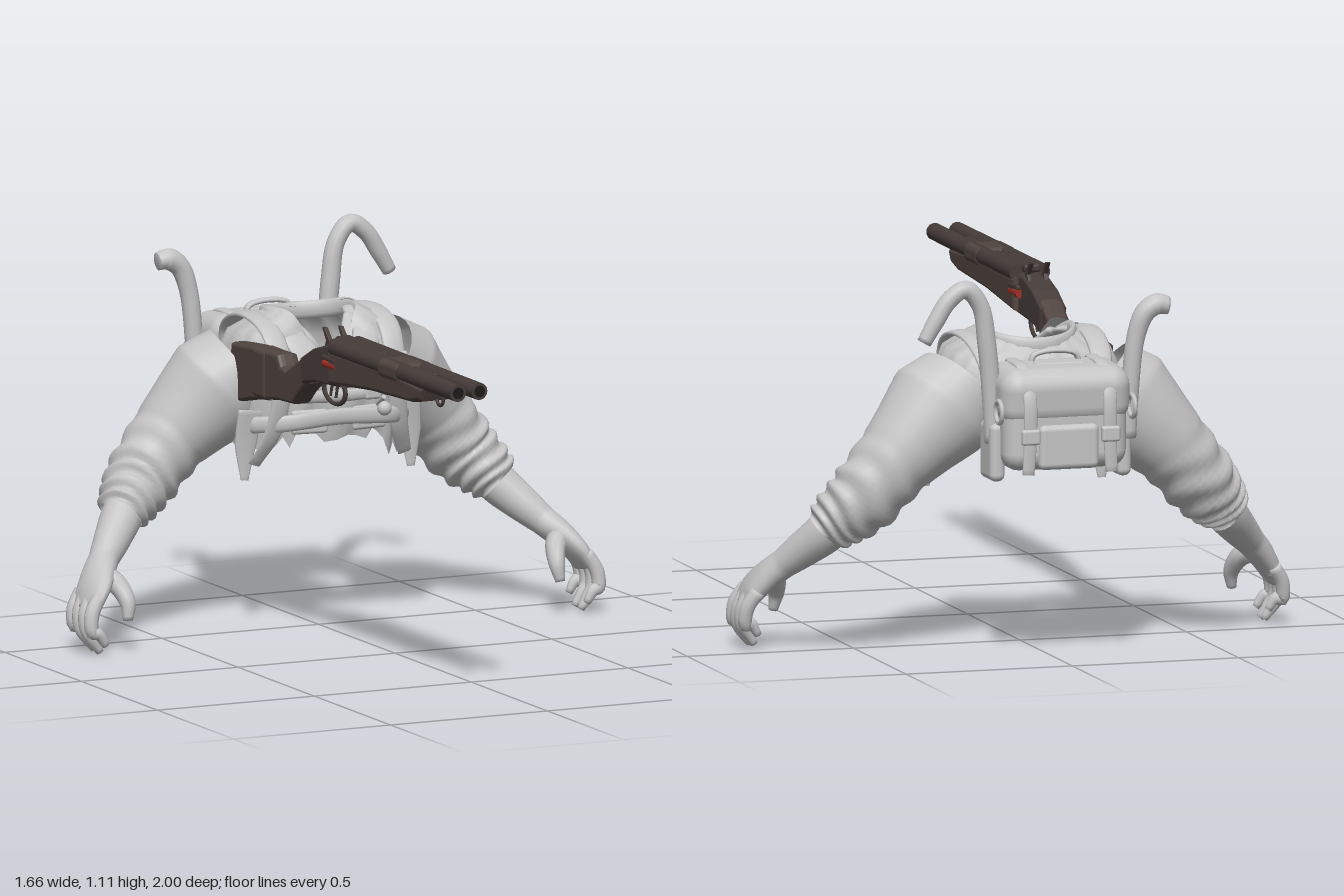
import * as THREE from 'three';
import { RoundedBoxGeometry } from 'three/addons/geometries/RoundedBoxGeometry.js';

const mat = (name, color, side = THREE.FrontSide) => {
  const m = new THREE.MeshStandardMaterial({ color, side });
  m.name = name;
  return m;
};
const X = new THREE.Vector3(1, 0, 0), Y = new THREE.Vector3(0, 1, 0), Z = new THREE.Vector3(0, 0, 1);
const noise = (n) => { const s = Math.sin(n * 12.9898) * 43758.5453; return s - Math.floor(s); };

// Skin rows of points that wrap around
function skin(rows, sides, caps) {
  const pos = rows.flat().flatMap((p) => [p.x, p.y, p.z]), idx = [];
  for (let i = 0; i < rows.length - 1; i++) for (let j = 0; j < sides; j++) {
    const a = i * sides + j, b = i * sides + (j + 1) % sides, c = a + sides, d = b + sides;
    idx.push(a, c, b, b, c, d);
  }
  if (caps) caps.forEach((p, e) => {
    const k = pos.length / 3, o = e ? (rows.length - 1) * sides : 0;
    pos.push(p.x, p.y, p.z);
    for (let j = 0; j < sides; j++) {
      const a = o + j, b = o + (j + 1) % sides;
      if (e) idx.push(k, b, a); else idx.push(k, a, b);
    }
  });
  const g = new THREE.BufferGeometry();
  g.setAttribute('position', new THREE.Float32BufferAttribute(pos, 3));
  g.setIndex(idx);
  g.computeVertexNormals();
  return g;
}

// Sweep an ellipse through points [x, y, z, radiusU, radiusV]; V lies along ref
function sweep(pts, { steps = 16, sides = 12, ref = Z, fold = null, open = false } = {}) {
  const curve = new THREE.CatmullRomCurve3(pts.map((p) => new THREE.Vector3(p[0], p[1], p[2])));
  const rows = [], n = pts.length - 1;
  for (let i = 0; i <= steps; i++) {
    const t = i / steps, f = Math.min(t * n, n - 1e-6), k = Math.floor(f), w = f - k;
    const c = curve.getPoint(t), tan = curve.getTangent(t);
    const u = new THREE.Vector3().crossVectors(tan, ref).normalize();
    const v = new THREE.Vector3().crossVectors(u, tan);
    const r = [3, 4].map((q) => {
      const get = (m) => pts[m][q] ?? pts[m][3];
      return get(k) * (1 - w) + get(k + 1) * w;
    });
    rows.push(Array.from({ length: sides }, (_, j) => {
      const a = j / sides * Math.PI * 2, e = fold ? fold(t, a) : 0;
      return c.clone().addScaledVector(u, Math.cos(a) * (r[0] + e)).addScaledVector(v, Math.sin(a) * (r[1] + e));
    }));
  }
  return skin(rows, sides, open ? null : [curve.getPoint(0), curve.getPoint(1)]);
}

// Extrude a side outline of [z, y] points across x
function sideProfile(pts, width, bevel) {
  const s = new THREE.Shape(pts.map((p) => new THREE.Vector2(p[0], p[1])));
  const depth = width - 2 * bevel;
  return new THREE.ExtrudeGeometry(s, { depth, bevelThickness: bevel, bevelSize: bevel * 0.5, bevelOffset: -bevel * 0.5, bevelSegments: 3 })
    .translate(0, 0, -depth / 2).rotateY(-Math.PI / 2);
}

export function createModel() {
  const root = new THREE.Group();
  const cloth = mat('pale grey', 0xc4c4c4, THREE.DoubleSide);
  const wood = mat('dark brown', 0x50443f);
  const metal = mat('gunmetal', 0x463c39);
  const red = mat('shell red', 0x9c2f26);
  const black = mat('bore black', 0x1c1a19);
  const put = (parent, name, geo, m, p = [0, 0, 0], r = [0, 0, 0]) => {
    const mesh = new THREE.Mesh(geo, m);
    mesh.name = name;
    mesh.position.set(...p);
    mesh.rotation.set(...r);
    parent.add(mesh);
  };
  const group = (name) => { const g = new THREE.Group(); g.name = name; root.add(g); return g; };
  const box = (w, h, d, r = 0.01) => new RoundedBoxGeometry(w, h, d, 3, r);

  // Torso: hollow jacket with a V neck and torn hem; rows are [y, halfWidth, zFront, zBack, frontDip, backLift]
  const body = group('jacket');
  const N = 64;
  const levels = [[0.935, 0.125, -0.43, -0.68, 0.15, -0.035], [0.91, 0.17, -0.395, -0.71, 0.13, -0.04], [0.875, 0.235, -0.38, -0.735, 0.1, -0.03],
    [0.8, 0.265, -0.365, -0.755, 0.05, 0], [0.71, 0.27, -0.36, -0.76, 0, 0.03], [0.63, 0.265, -0.37, -0.75, 0, 0.07], [0.575, 0.255, -0.385, -0.735, 0, 0.1]];
  const rows = levels.map(([y, rx, zf, zb, dip, lift], i) => Array.from({ length: N }, (_, j) => {
    const a = j / N * Math.PI * 2, s = Math.sin(a), c = Math.cos(a);
    const sq = (q) => Math.sign(q) * Math.abs(q) ** 0.8;
    const crease = i > 0 ? 0.005 * Math.sin(j * 1.9 + i * 1.3) : 0;
    const sag = c > 0 ? 0.06 * Math.max(0, 1 - Math.abs(Math.abs(s) - 0.75) * 4) : 0;
    const torn = i === 6 ? 0.06 * noise(j + 3) + sag - 0.02 : 0;
    return new THREE.Vector3(sq(s) * (rx + crease), y - dip * Math.max(0, c) ** 6 + lift * Math.max(0, -c) - torn,
      (zf + zb) / 2 + sq(c) * ((zf - zb) / 2 + crease));
  }));
  put(body, 'torso', skin(rows, N), cloth);

  // Standing collar, highest at the sides of the neck
  const collar = [];
  for (let i = 0; i <= 10; i++) {
    const a = Math.PI * (0.32 + 1.36 * i / 10), c = Math.cos(a);
    collar.push([Math.sin(a) * 0.137, 0.915 - 0.07 * Math.max(0, c) - 0.03 * Math.max(0, -c), -0.555 + c * 0.135, 0.011, 0.026]);
  }
  put(body, 'collar', sweep(collar, { steps: 30, ref: Y }), cloth);

  // Lower vest straps and hanging charm
  for (const [y, h, tilt] of [[0.705, 0.018, 0.01], [0.625, 0.024, -0.01]])
    put(body, 'chestStrap', sweep([[-0.25, y + tilt, -0.44, 0.01, h], [-0.17, y, -0.365, 0.01, h], [0, y - tilt, -0.355, 0.01, h],
      [0.17, y, -0.365, 0.01, h], [0.25, y + tilt, -0.44, 0.01, h]], { steps: 24, ref: Y }), cloth);
  put(body, 'buckle', box(0.055, 0.055, 0.022), cloth, [0.1, 0.705, -0.352]);
  put(body, 'charm', new THREE.SphereGeometry(0.021, 14, 10), cloth, [0.12, 0.655, -0.315]);
  put(body, 'charmLink', new THREE.CylinderGeometry(0.007, 0.007, 0.05, 8), cloth, [0.12, 0.675, -0.34], [1, 0, 0]);

  for (const s of [1, -1]) {
    const m = (pts) => pts.map(([x, ...q]) => [s * x, ...q]);
    put(body, 'lapel', sweep(m([[0.12, 0.91, -0.55, 0.01, 0.025], [0.12, 0.87, -0.44, 0.012, 0.04], [0.075, 0.79, -0.375, 0.012, 0.045],
      [0.025, 0.69, -0.355, 0.008, 0.02]]), { ref: X }), cloth);
    put(body, 'innerScarf', sweep(m([[0.1, 0.9, -0.5, 0.01, 0.02], [0.065, 0.84, -0.44, 0.012, 0.028], [0.015, 0.71, -0.39, 0.008, 0.02]]), { ref: X }), cloth);
    put(body, 'shoulderStrap', sweep(m([[0.15, 0.72, -0.765, 0.01, 0.03], [0.17, 0.85, -0.735, 0.01, 0.032], [0.18, 0.908, -0.6, 0.01, 0.035],
      [0.185, 0.88, -0.43, 0.01, 0.035], [0.18, 0.77, -0.365, 0.01, 0.032], [0.2, 0.6, -0.385, 0.008, 0.028], [0.24, 0.5, -0.43, 0.004, 0.02]]),
    { steps: 30, ref: X }), cloth);
    put(body, 'strapBuckle', box(0.075, 0.05, 0.025), cloth, [s * 0.18, 0.78, -0.358], [-0.2, 0, s * 0.15]);
    put(body, 'tornFlap', sweep(m([[0.25, 0.66, -0.43, 0.006, 0.04], [0.262, 0.56, -0.44, 0.006, 0.035], [0.265, 0.455, -0.44, 0.003, 0.012]]), { ref: X }), cloth);
    put(body, 'vestPouch', box(0.11, 0.07, 0.02), cloth, [s * 0.095, 0.625, -0.366], [0, s * 0.1, 0]);

    // Arm: smooth shoulder, creased rolled sleeve, then a bare forearm
    const arm = group(s > 0 ? 'leftArm' : 'rightArm');
    put(arm, 'sleeve', sweep(m([[0.205, 0.765, -0.58, 0.135, 0.15], [0.275, 0.7, -0.6, 0.165, 0.152], [0.35, 0.63, -0.615, 0.137, 0.135],
      [0.42, 0.56, -0.622, 0.115, 0.118], [0.51, 0.455, -0.61, 0.105, 0.103], [0.565, 0.4, -0.58, 0.088, 0.088], [0.6, 0.362, -0.56, 0.07, 0.07]]),
    { steps: 56, sides: 28, open: true,
      fold: (t, a) => 0.007 * THREE.MathUtils.smoothstep(t, 0.42, 0.65) * Math.sin(t * 62 + Math.sin(a * 2) * 1.8) }), cloth);
    put(arm, 'forearm', sweep(m([[0.56, 0.4, -0.59, 0.062], [0.61, 0.345, -0.55, 0.06], [0.66, 0.295, -0.505, 0.052], [0.7, 0.255, -0.47, 0.043, 0.045],
      [0.735, 0.22, -0.435, 0.04, 0.06], [0.77, 0.175, -0.4, 0.032, 0.078], [0.795, 0.13, -0.392, 0.022, 0.074]]), { steps: 32, sides: 18 }), cloth);
    // Curled fingers and thumb
    for (let i = 0; i < 4; i++) {
      const z = -0.332 - i * 0.039, tip = [0.035, 0.01, 0.013, 0.045][i];
      put(arm, 'finger', sweep(m([[0.775, 0.175, z - 0.01, 0.021], [0.804, 0.125, z, 0.022], [0.806, 0.075, z + 0.008, 0.02],
        [0.79, tip + 0.035, z + 0.012, 0.018], [0.766, tip, z + 0.014, 0.011]]), { sides: 10 }), cloth);
    }
    put(arm, 'thumb', sweep(m([[0.735, 0.22, -0.42, 0.036], [0.7, 0.198, -0.385, 0.031], [0.684, 0.15, -0.345, 0.024], [0.689, 0.1, -0.332, 0.014]]), { sides: 10 }), cloth);
  }

  // Backpack with flap, straps, handle and side pockets
  const pack = group('backpack');
  put(pack, 'packBody', box(0.37, 0.28, 0.2, 0.05), cloth, [0, 0.705, -0.865]);
  put(pack, 'packFlap', box(0.39, 0.17, 0.215, 0.06), cloth, [0, 0.78, -0.868], [-0.08, 0, 0]);
  put(pack, 'frontPocket', box(0.18, 0.13, 0.04, 0.018), cloth, [0, 0.635, -0.96]);
  put(pack, 'handle', sweep([[-0.075, 0.85, -0.83, 0.008, 0.014], [-0.06, 0.885, -0.83, 0.008, 0.014], [0.06, 0.885, -0.83, 0.008, 0.014],
    [0.075, 0.85, -0.83, 0.008, 0.014]]), cloth);
  put(pack, 'topPatch', box(0.15, 0.012, 0.03, 0.005), cloth, [0, 0.862, -0.87], [-0.08, 0, 0]);
  for (const s of [1, -1]) {
    put(pack, 'packStrap', sweep([[s * 0.12, 0.868, -0.8, 0.007, 0.02], [s * 0.12, 0.856, -0.92, 0.007, 0.02], [s * 0.12, 0.79, -0.975, 0.007, 0.02],
      [s * 0.12, 0.66, -0.98, 0.007, 0.02], [s * 0.125, 0.56, -0.978, 0.006, 0.018]], { ref: X, steps: 24 }), cloth);
    put(pack, 'packBuckle', box(0.055, 0.045, 0.022, 0.008), cloth, [s * 0.12, 0.67, -0.985]);
    put(pack, 'sidePocket', box(0.045, 0.17, 0.12, 0.02), cloth, [s * 0.19, 0.615, -0.84]);
    put(pack, 'sideRing', new THREE.TorusGeometry(0.032, 0.007, 8, 18), cloth, [s * 0.2, 0.74, -0.935], [0, Math.PI / 2, 0]);
  }
  // Hooked poles carried on either side
  put(pack, 'longHook', sweep([[0.195, 0.64, -0.86, 0.024], [0.2, 0.78, -0.86, 0.028], [0.215, 0.93, -0.865, 0.028], [0.235, 1.04, -0.868, 0.026],
    [0.28, 1.09, -0.87, 0.026], [0.33, 1.06, -0.87, 0.026], [0.37, 1.0, -0.87, 0.025], [0.405, 0.94, -0.87, 0.021]], { steps: 40 }), cloth);
  put(pack, 'shortHook', sweep([[-0.205, 0.64, -0.88, 0.024], [-0.21, 0.78, -0.885, 0.026], [-0.225, 0.93, -0.89, 0.027], [-0.25, 1.0, -0.895, 0.03],
    [-0.285, 1.025, -0.897, 0.032], [-0.32, 1.02, -0.9, 0.026]], { steps: 30 }), cloth);

  // Double barrelled gun under the right shoulder
  const gun = group('shotgun');
  gun.position.x = -0.25;
  for (const s of [1, -1]) {
    put(gun, 'barrel', new THREE.CylinderGeometry(0.025, 0.027, 0.8, 20), metal, [s * 0.034, 0.953, 0.599], [Math.PI / 2, 0, 0]);
    put(gun, 'bore', new THREE.CircleGeometry(0.017, 18), black, [s * 0.034, 0.953, 0.9995]);
    put(gun, 'hammer', sideProfile([[0.15, 0.93], [0.11, 0.93], [0.125, 0.96], [0.1, 0.995], [0.115, 0.995], [0.145, 0.965]], 0.012, 0.002), metal, [s * 0.025, 0, 0]);
    put(gun, 'redShell', new THREE.CylinderGeometry(0.013, 0.013, 0.08, 12), red, [s * 0.044, 0.9, 0.19], [Math.PI / 2, 0, 0]);
    put(gun, 'shellClip', box(0.014, 0.012, 0.09, 0.004), metal, [s * 0.05, 0.918, 0.19]);
  }
  put(gun, 'rib', box(0.02, 0.03, 0.5, 0.005), metal, [0, 0.955, 0.53]);
  put(gun, 'forend', sideProfile([[0.81, 0.935], [0.79, 0.895], [0.72, 0.88], [0.45, 0.868], [0.18, 0.842], [0.18, 0.945], [0.6, 0.95]], 0.11, 0.025), wood);
  put(gun, 'barrelBand', box(0.122, 0.056, 0.14, 0.02), wood, [0, 0.95, 0.58]);
  put(gun, 'sightRail', box(0.05, 0.024, 0.26, 0.008), metal, [0, 0.965, 0.3], [0.03, 0, 0]);
  put(gun, 'slingRing', new THREE.TorusGeometry(0.022, 0.005, 8, 18), metal, [0, 0.905, 0.81], [0, Math.PI / 2, 0]);
  put(gun, 'receiver', sideProfile([[0.24, 0.84], [0.06, 0.828], [-0.02, 0.81], [-0.03, 0.885], [0.05, 0.925], [0.14, 0.95], [0.24, 0.955]], 0.08, 0.015), metal);
  put(gun, 'triggerGuard', new THREE.TorusGeometry(0.04, 0.006, 8, 24).scale(1.75, 1, 1), metal, [0, 0.812, 0.12], [0, Math.PI / 2, 0]);
  for (const z of [0.1, 0.135])
    put(gun, 'trigger', new THREE.CylinderGeometry(0.005, 0.004, 0.05, 8), metal, [0, 0.815, z], [0.3, 0, 0]);
  put(gun, 'stock', sideProfile([[0.0, 0.905], [-0.07, 0.865], [-0.14, 0.828], [-0.17, 0.835], [-0.19, 0.866], [-0.36, 0.862], [-0.5, 0.85],
    [-0.505, 0.672], [-0.36, 0.705], [-0.2, 0.73], [-0.1, 0.735], [-0.06, 0.77], [0.0, 0.812]], 0.066, 0.02), wood);
  put(gun, 'stockWrap', box(0.074, 0.145, 0.09, 0.015), wood, [0, 0.79, -0.31]);
  return root;
}
